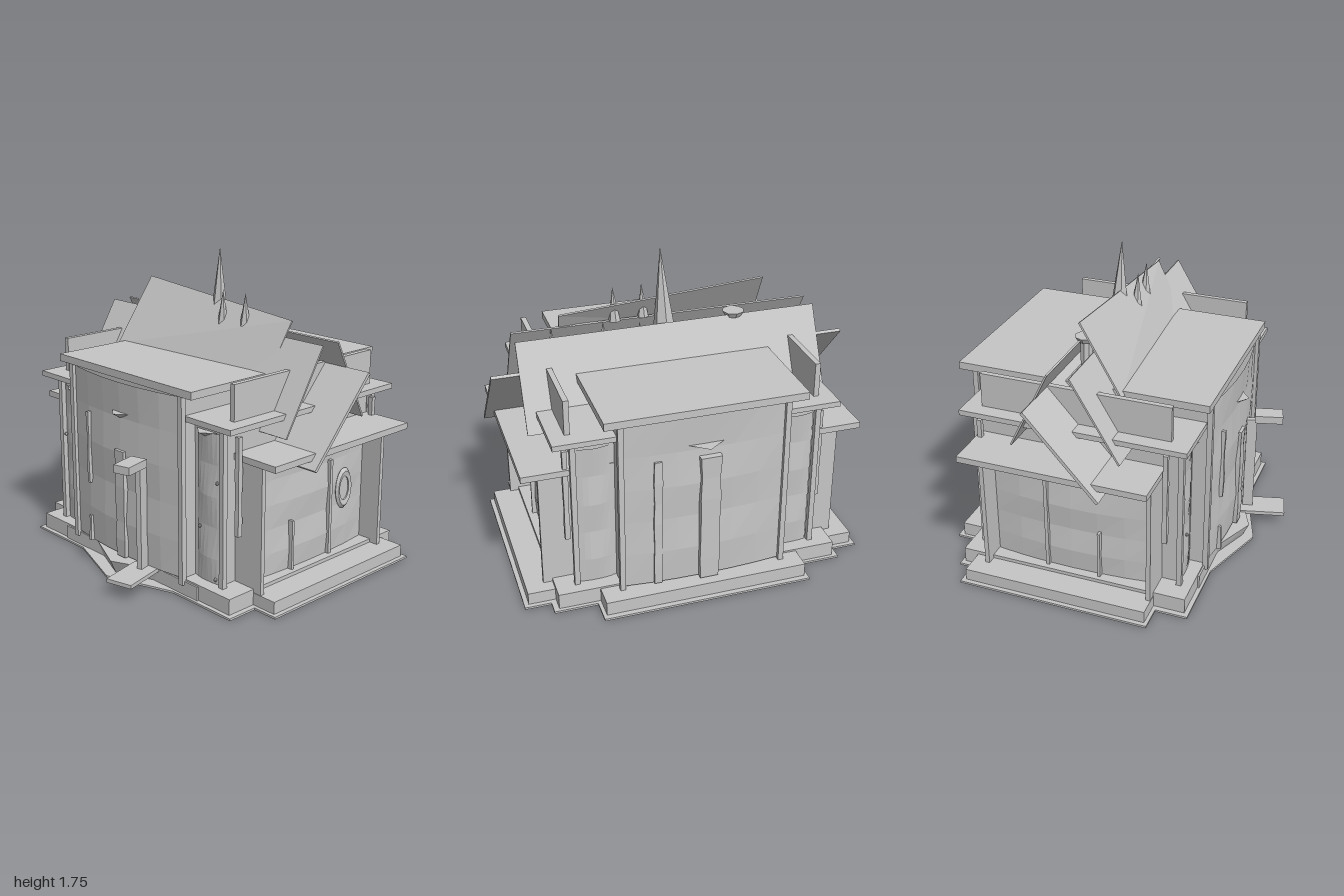
import * as THREE from 'three';

export function createModel() {
  const root = new THREE.Group();
  const grey = new THREE.MeshStandardMaterial({ color: 0xc6c6c6, flatShading: true });
  grey.name = 'stoneGrey';
  const openGrey = grey.clone();
  openGrey.name = 'wallGrey';
  openGrey.side = THREE.DoubleSide;

  const add = (name, geo, x = 0, y = 0, z = 0, mat = grey) => {
    const m = new THREE.Mesh(geo, mat);
    m.name = name;
    m.position.set(x, y, z);
    root.add(m);
    return m;
  };
  // Box given by its limits
  const box = (name, x0, x1, y0, y1, z0, z1) =>
    add(name, new THREE.BoxGeometry(x1 - x0, y1 - y0, z1 - z0), (x0 + x1) / 2, (y0 + y1) / 2, (z0 + z1) / 2);
  // Solid between two matching polygons, counter-clockwise as seen from the high side
  const solid = (low, high) => {
    const n = low.length, idx = [];
    for (let i = 0; i < n; i++) {
      const j = (i + 1) % n;
      idx.push(i, j, n + j, i, n + j, n + i);
      if (i > 0 && j > 0) idx.push(0, j, i, n, n + i, n + j);
    }
    const g = new THREE.BufferGeometry();
    g.setAttribute('position', new THREE.Float32BufferAttribute([...low, ...high].flat(), 3));
    g.setIndex(idx);
    g.computeVertexNormals();
    return g;
  };

  // Stepped ground plate with a pointed front
  const plate = new THREE.Shape();
  const half = [[0, 0.75], [0.4, 0.61], [0.83, 0.61], [0.83, 0.43], [0.975, 0.43], [0.975, -0.67],
    [0.83, -0.67], [0.83, -0.75], [0.59, -0.75], [0.59, -0.89]];
  const outline = [...half, ...half.slice(1).reverse().map(([x, z]) => [-x, z])];
  plate.setFromPoints(outline.map(([x, z]) => new THREE.Vector2(x, -z)));
  add('groundPlate', new THREE.ExtrudeGeometry(plate, { depth: 0.012, bevelEnabled: false }).rotateX(-Math.PI / 2));

  // Three nested volumes: plinth, walls and flat roof
  const tiers = [
    { n: 'centre', plinth: [0.57, -0.86, 0.595, 0.09], wall: [0.455, -0.75, 0.58], roof: [0.55, -0.815, 0.615, 1.11, 1.152], post: 0.456 },
    { n: 'middle', plinth: [0.80, -0.73, 0.585, 0.1], wall: [0.66, -0.64, 0.5], roof: [0.79, -0.70, 0.575, 0.97, 1.0], post: 0.68 },
    { n: 'wing', plinth: [0.95, -0.645, 0.41, 0.08], wall: [0.715, -0.56, 0.37], roof: [0.95, -0.645, 0.42, 0.78, 0.815] },
  ];
  for (const { n, plinth: p, wall: w, roof: r, post } of tiers) {
    box(n + 'Plinth', -p[0], p[0], 0.012, p[3], p[1], p[2]);
    box(n + 'Walls', -w[0], w[0], 0.07, r[3], w[1], w[2]);
    box(n + 'Roof', -r[0], r[0], r[3], r[4], r[1], r[2]);
    // Corner posts
    if (post) for (const s of [-1, 1]) for (const z of [w[1] - 0.015, w[2] + 0.015])
      box(n + 'Post', s * post - 0.015, s * post + 0.015, 0.07, r[3], z - 0.015, z + 0.015);
  }

  // Uneven, outward-bowed wall faces
  const bowed = (name, w, h, x, y, z, turn, depth) => {
    const g = new THREE.PlaneGeometry(w, h, 6, 5), p = g.attributes.position;
    for (let i = 0; i < p.count; i++) {
      const u = p.getX(i) / w * 2, v = p.getY(i) / h;
      p.setZ(i, (1 - u * u) * (depth + 0.006 * Math.sin(v * 16 + u)));
    }
    g.computeVertexNormals();
    add(name, g, x, y, z, openGrey).rotation.y = turn;
  };
  bowed('frontWallFace', 0.9, 1.0, 0, 0.6, 0.588, 0, 0.045);
  bowed('backWallFace', 0.9, 1.0, 0, 0.6, -0.758, Math.PI, 0.03);
  for (const s of [-1, 1]) {
    bowed('wingSideFace', 0.92, 0.69, s * 0.72, 0.43, -0.085, s * Math.PI / 2, 0.035);
    bowed('middleFrontFace', 0.18, 0.86, s * 0.57, 0.5, 0.505, 0, 0.012);
    bowed('middleBackFace', 0.18, 0.86, s * 0.57, 0.5, -0.645, Math.PI, 0.012);
    // Flat end panels reaching past the recessed wing walls
    for (const z of [-0.56, 0.395])
      add('wingEndPanel', new THREE.BoxGeometry(0.22, 0.71, 0.025), s * 0.74, 0.425, z);
    // Upright roof fins
    box('roofFin', s * 0.69 - 0.015, s * 0.69 + 0.015, 1.0, 1.195, -0.605, 0.465);
    // Side trim
    box('sideTrim', s * 0.755 - 0.02, s * 0.755 + 0.02, 0.08, 0.38, 0.075, 0.09);
    box('sidePanel', s * 0.75 - 0.02, s * 0.75 + 0.02, 0.08, 0.65, -0.235, -0.215);
  }

  // Thin tilted roof sheets; each corner is [x, y, z]
  const sheet = (name, t, ...corners) => {
    const [a, b, c] = corners.map(k => new THREE.Vector3(...k));
    const n = b.sub(a).cross(c.sub(a)).setLength(t / 2);
    const shift = k => corners.map(([x, y, z]) => [x + k * n.x, y + k * n.y, z + k * n.z]);
    add(name, solid(shift(-1), shift(1)));
  };
  const slope = (name, t, w, y0, z0, y1, z1) => sheet(name, t, [-w, y0, z0], [w, y0, z0], [w, y1, z1], [-w, y1, z1]);
  slope('frontRoofSheet', 0.01, 0.85, 0.89, 0.235, 1.335, -0.03);
  slope('lowRoofSheet', 0.018, 1.0, 0.74, 0.175, 1.185, -0.225);
  slope('backRoofSheet', 0.01, -0.85, 0.89, -0.37, 1.335, -0.15);
  sheet('crookedRoofSheet', 0.01, [-0.595, 1.13, 0.15], [0.56, 1.04, 0.13], [0.595, 1.42, -0.07], [-0.565, 1.51, -0.09]);

  // Spires on the ridge: x, z, base y, tip y, radius
  for (const [x, z, y0, y1, r] of [[0.02, -0.09, 1.25, 1.75, 0.065], [0.115, -0.025, 1.335, 1.53, 0.032],
    [0.28, -0.035, 1.335, 1.53, 0.034], [0.36, -0.12, 1.2, 1.38, 0.03], [0.16, -0.14, 1.2, 1.36, 0.025], [0.63, -0.04, 1.2, 1.34, 0.025]]) {
    const m = add('ridgeSpire', new THREE.ConeGeometry(r, y1 - y0, 6), x, (y0 + y1) / 2, z);
    m.rotation.set(0.03, 0, -0.04);
  }
  // Chimney with round cap
  add('chimney', new THREE.CylinderGeometry(0.035, 0.035, 0.16, 8), -0.38, 1.25, -0.13);
  add('chimneyCap', new THREE.CylinderGeometry(0.062, 0.045, 0.03, 8), -0.38, 1.335, -0.13);

  // Pointed front step and small wedge canopies that taper downwards
  add('frontStep', solid([[-0.23, 0.012, 0.59], [0, 0.012, 0.685], [0.23, 0.012, 0.59]],
    [[-0.29, 0.09, 0.59], [0, 0.09, 0.72], [0.29, 0.09, 0.59]]));
  const wedge = solid([[-0.01, 0.9, 0], [0, 0.9, 0.01], [0.01, 0.9, 0]], [[-0.075, 0.93, 0], [0, 0.93, 0.06], [0.075, 0.93, 0]]);
  const canopy = (name, x, z, turn, wide, deep) => {
    const m = add(name, wedge, x, 0, z);
    m.rotation.y = turn;
    m.scale.set(wide, 1, deep);
  };
  canopy('frontCanopy', 0, 0.62, 0, 1, 1);
  canopy('backCanopy', 0, -0.77, Math.PI, 1.5, 1.4);
  for (const s of [-1, 1]) {
    canopy('sideCanopy', s * 0.66, -0.07, s * Math.PI / 2, 1.8, 1);
    canopy('middleCanopy', s * 0.55, 0.505, 0, 1, 1);
  }

  // Standing sign by the door, turned towards its path slab
  const sign = new THREE.Group();
  sign.name = 'doorSign';
  sign.position.set(0.2, 0, 0.66);
  sign.rotation.y = 0.26;
  for (const [w, h, d, y, z] of [[0.16, 0.022, 0.26, 0.09, 0.085], [0.03, 0.6, 0.06, 0.39, -0.005], [0.1, 0.045, 0.16, 0.712, 0.09]]) {
    const m = new THREE.Mesh(new THREE.BoxGeometry(w, h, d), grey);
    m.name = 'signPart';
    m.position.set(0, y, z);
    sign.add(m);
  }
  root.add(sign);

  // Upright boards with a slightly waving edge
  const rough = (name, x, z, y0, y1, w, d) => {
    const g = new THREE.BoxGeometry(w, y1 - y0, d, 1, 6, 1), p = g.attributes.position;
    for (let i = 0; i < p.count; i++) {
      const k = 0.9 + 0.1 * Math.sin(p.getY(i) * 23 + x * 9);
      p.setX(i, p.getX(i) * k);
      p.setZ(i, p.getZ(i) * k);
    }
    g.computeVertexNormals();
    add(name, g, x, (y0 + y1) / 2, z);
  };
  rough('doorBoard', 0.01, 0.63, 0.1, 0.72, 0.08, 0.05);
  rough('frontBoard', -0.29, 0.61, 0.45, 0.87, 0.02, 0.05);
  rough('frontBoard', -0.29, 0.61, 0.1, 0.25, 0.02, 0.05);
  rough('backBoard', 0.26, -0.77, 0.1, 0.86, 0.05, 0.04);
  rough('backBoard', -0.02, -0.795, 0.1, 0.86, 0.12, 0.05);
  for (const s of [-1, 1]) for (const z of [0.44, -0.62]) rough('middleSideBoard', s * 0.715, z, 0.38, 0.92, 0.03, 0.03);

  // Oval side window
  const rim = add('ovalWindowRim', new THREE.TorusGeometry(0.05, 0.015, 5, 16).scale(1, 1.85, 1), 0.755, 0.455, -0.345);
  rim.rotation.y = Math.PI / 2;
  const pane = add('ovalWindowPane', new THREE.CircleGeometry(0.05, 16).scale(1, 1.85, 1), 0.757, 0.455, -0.345);
  pane.rotation.y = Math.PI / 2;

  // Studs on the front
  for (const [x, y] of [[-0.65, 0.63], [-0.58, 0.36], [0.51, 0.4], [0.64, 0.67], [0.63, 0.13]])
    add('stud', new THREE.SphereGeometry(0.01, 6, 5), x, y, 0.52);

  return root;
}
